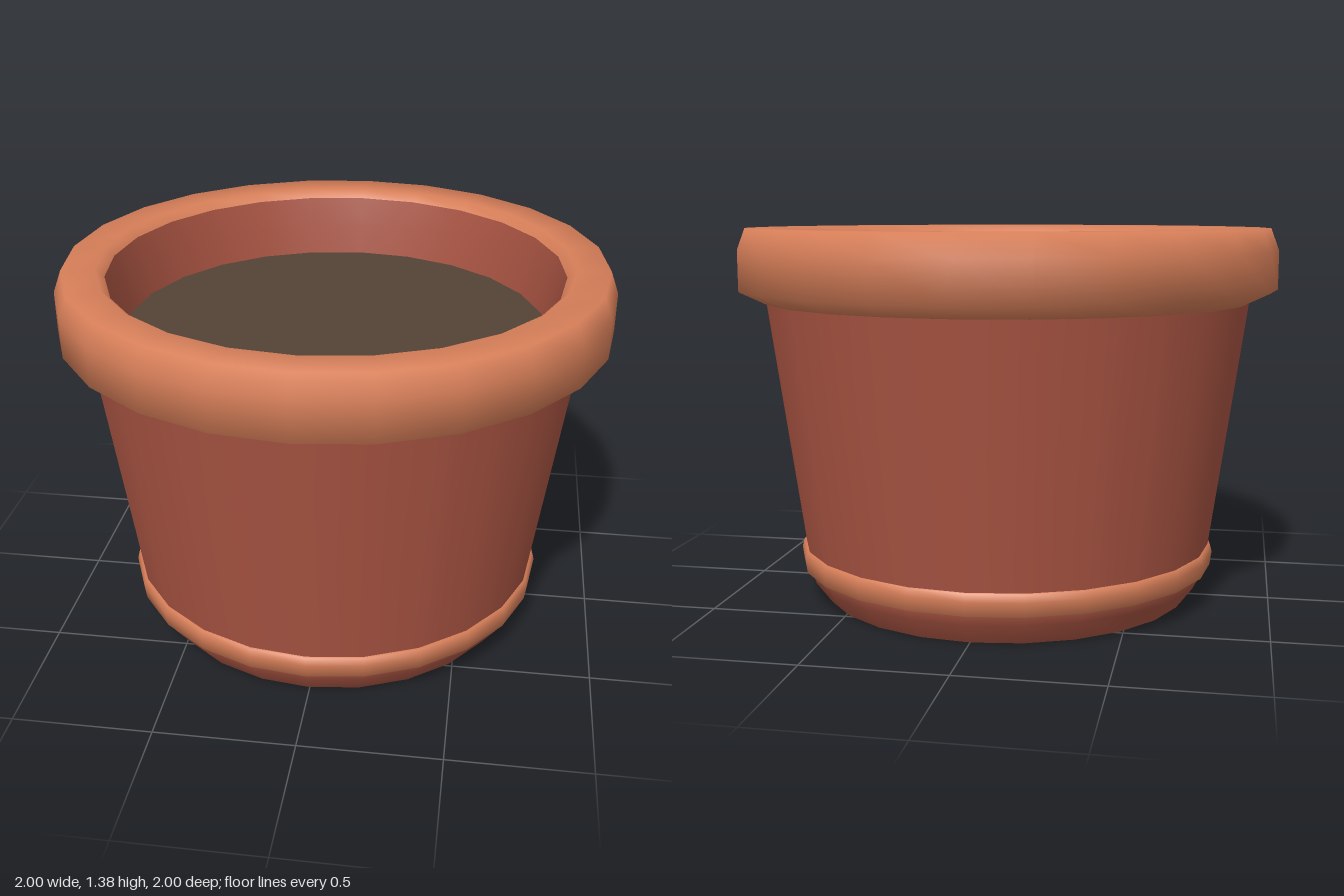
import * as THREE from 'three';

const SIDES = 24;

export function createModel() {
  const group = new THREE.Group();
  group.name = 'flowerPot';

  const material = (name, color) => {
    const m = new THREE.MeshStandardMaterial({ color });
    m.name = name;
    return m;
  };
  const clay = material('dark clay', 0xa95442);
  const trim = material('light clay', 0xd67e58);
  const earth = material('soil brown', 0x544336);

  const add = (name, geometry, mat) => {
    const mesh = new THREE.Mesh(geometry, mat);
    mesh.name = name;
    group.add(mesh);
    return mesh;
  };
  // Profiles run upward on the outside and downward on the inside
  const turn = (name, profile, mat) =>
    add(name, new THREE.LatheGeometry(profile.map(([r, y]) => new THREE.Vector2(r, y)), SIDES), mat);
  // Flat disc with corners lined up with the turned parts
  const disc = (name, radius, y, facing, mat) => {
    const mesh = add(name, new THREE.CircleGeometry(radius, SIDES).rotateX(-facing * Math.PI / 2), mat);
    mesh.position.y = y;
  };

  // Foot, outer wall and inner wall
  turn('foot', [[0.69, 0], [0.75, 0.08], [0.755, 0.12]], clay);
  turn('outerWall', [[0.77, 0.19], [0.90, 1.12]], clay);
  turn('innerWall', [[0.82, 1.35], [0.795, 1.25], [0.77, 1.12]], clay);
  disc('underside', 0.69, 0, -1, clay);

  // Raised band above the foot
  turn('footBand', [[0.75, 0.107], [0.78, 0.12], [0.787, 0.17], [0.78, 0.198], [0.765, 0.2]], trim);

  // Thick rolled rim
  turn('rim', [[0.895, 1.11], [1.0, 1.16], [1.0, 1.30], [0.97, 1.38], [0.85, 1.38], [0.82, 1.35]], trim);

  // Soil filling
  disc('soil', 0.775, 1.13, 1, earth);

  return group;
}
